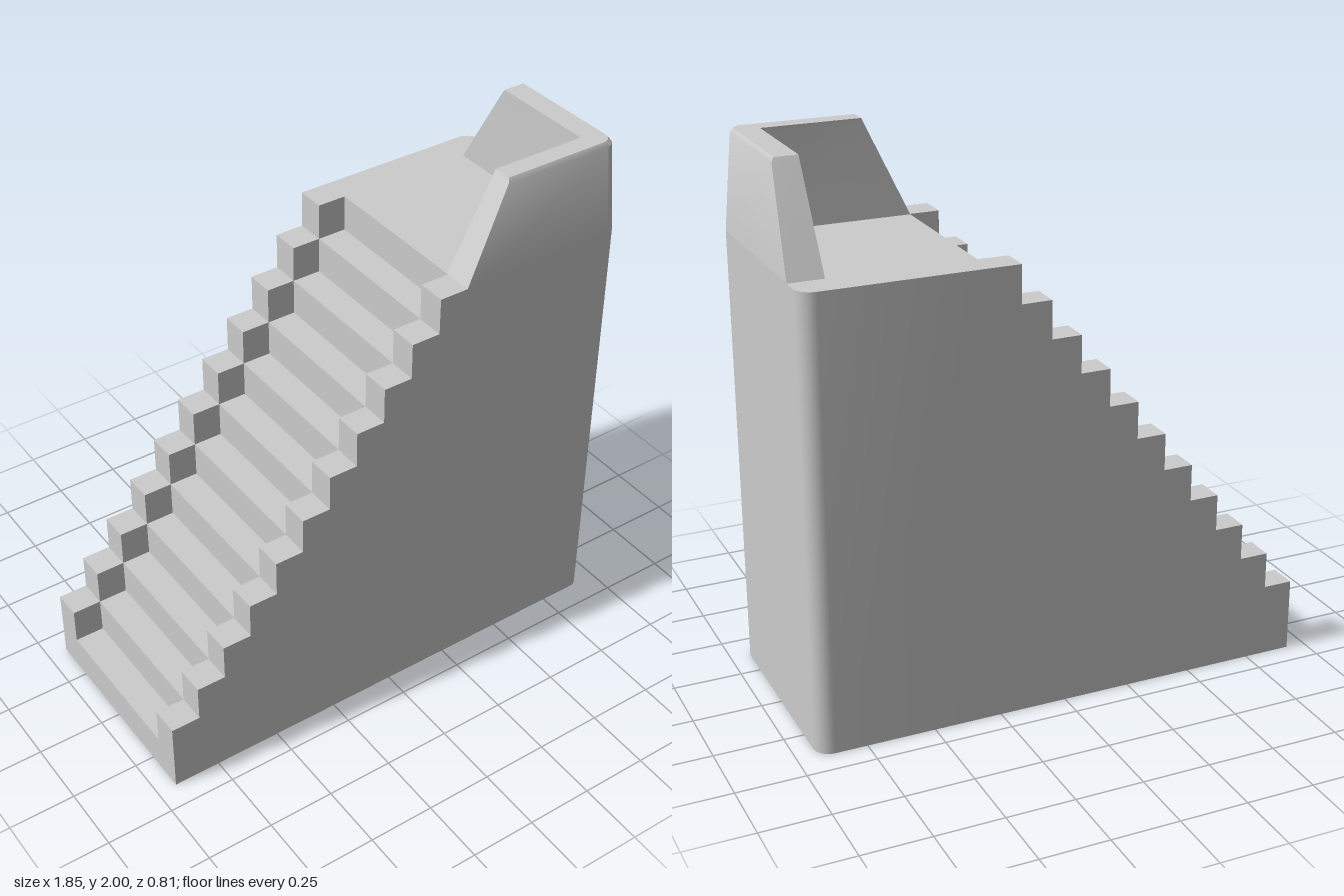
import * as THREE from 'three';
import { toCreasedNormals } from 'three/addons/utils/BufferGeometryUtils.js';

const X0 = -0.927, X1 = 0.927, XS = 0.28, ZO = 0.407, ZI = 0.3;
const STEPS = 11, RUN = (XS - X0) / STEPS, RISE = 1.645 / 12, DECK = 1.645;

const material = new THREE.MeshStandardMaterial({ color: 0xcccccc, side: THREE.DoubleSide });

// Skin between successive rows of [x, y, z] points
function loft(rows, closed = false) {
  const n = rows[0].length, index = [];
  for (let r = 0; r < rows.length - 1; r++) {
    for (let j = 0; j < (closed ? n : n - 1); j++) {
      const a = r * n + j, b = r * n + (j + 1) % n;
      index.push(a, b, b + n, a, b + n, a + n);
    }
  }
  const g = new THREE.BufferGeometry();
  g.setAttribute('position', new THREE.Float32BufferAttribute(rows.flat(2), 3));
  g.setIndex(index);
  return toCreasedNormals(g, 0.6);
}

// Flat horizontal face from a plan of [x, z] points
function lid(plan, y) {
  const shape = new THREE.Shape(plan.map(([x, z]) => new THREE.Vector2(x, -z)));
  return new THREE.ShapeGeometry(shape).rotateX(-Math.PI / 2).translate(0, y, 0);
}

// Quarter circle in plan, sweeping from angle a0 down by 90 degrees
function arc(cx, cz, r, a0) {
  return Array.from({ length: 9 }, (_, i) => {
    const a = a0 - (i / 8) * Math.PI / 2;
    return [cx + r * Math.cos(a), cz + r * Math.sin(a)];
  });
}

// Stepped profile; the first tread lies at height h
function stairLine(h) {
  const pts = [[X0, 0]];
  for (let i = 0; i < STEPS; i++) {
    pts.push([X0 + i * RUN, h + i * RISE], [X0 + (i + 1) * RUN, h + i * RISE]);
  }
  pts.push([XS, DECK]);
  return pts;
}

export function createModel() {
  const group = new THREE.Group();
  const add = (name, geometry) => {
    const mesh = new THREE.Mesh(geometry, material);
    mesh.name = name;
    group.add(mesh);
  };
  const strip = (line, zNear, zFar) =>
    loft([line.map(([x, y]) => [x, y, zNear]), line.map(([x, y]) => [x, y, zFar])]);

  // Treads and risers, recessed one step below the side walls
  const inner = stairLine(RISE), outer = stairLine(2 * RISE);
  add('stairs', strip(inner, ZI, -ZI));

  // Stepped side walls: outer face, stepped top and inner cheeks
  const sideShape = new THREE.Shape([...outer, [XS, 0]].map(([x, y]) => new THREE.Vector2(x, y)));
  for (const s of [1, -1]) {
    const side = s > 0 ? 'left' : 'right';
    const face = new THREE.ShapeGeometry(sideShape);
    if (s < 0) face.rotateY(Math.PI).scale(-1, 1, 1);
    add(side + 'SideWall', face.translate(0, 0, s * ZO));
    add(side + 'WallTop', s > 0 ? strip(outer, ZO, ZI) : strip(outer, -ZI, -ZO));
    for (let i = 0; i < STEPS; i++) {
      const cheek = new THREE.PlaneGeometry(RUN, RISE);
      if (s > 0) cheek.rotateY(Math.PI);
      add(side + 'Cheek', cheek.translate(X0 + (i + 0.5) * RUN, (i + 1.5) * RISE, s * ZI));
    }
  }

  // Tower walls with rounded vertical corners, open underneath
  const rF = 0.04, rB = 0.06;
  const plan = [
    [XS, ZO],
    ...arc(X1 - rF, ZO - rF, rF, Math.PI / 2),
    ...arc(X1 - rB, -ZO + rB, rB, 0),
    [XS, -ZO],
  ];
  add('towerWalls', loft([0, DECK].map((y) => plan.map(([x, z]) => [x, y, z]))));
  add('platform', lid(plan, DECK));

  // L-shaped parapet, tapering upward with sloped ends and a softened top edge
  const outline = (xStart, zOut, xOut, zEnd, xIn, zIn) => [
    [xStart, zOut],
    ...arc(xOut - rF, zOut - rF, rF, Math.PI / 2),
    [xOut, zEnd], [xIn, zEnd], [xIn, zIn], [xStart, zIn],
  ];
  const levels = [
    [DECK, outline(XS, ZO, X1, -0.29, 0.8, 0.295)],
    [1.985, outline(0.438, 0.393, 0.898, -0.098, 0.805, 0.315)],
    [2, outline(0.445, 0.383, 0.888, -0.088, 0.805, 0.315)],
  ];
  add('parapet', loft(levels.map(([y, p]) => p.map(([x, z]) => [x, y, z])), true));
  add('parapetTop', lid(levels[2][1], 2));

  return group;
}
